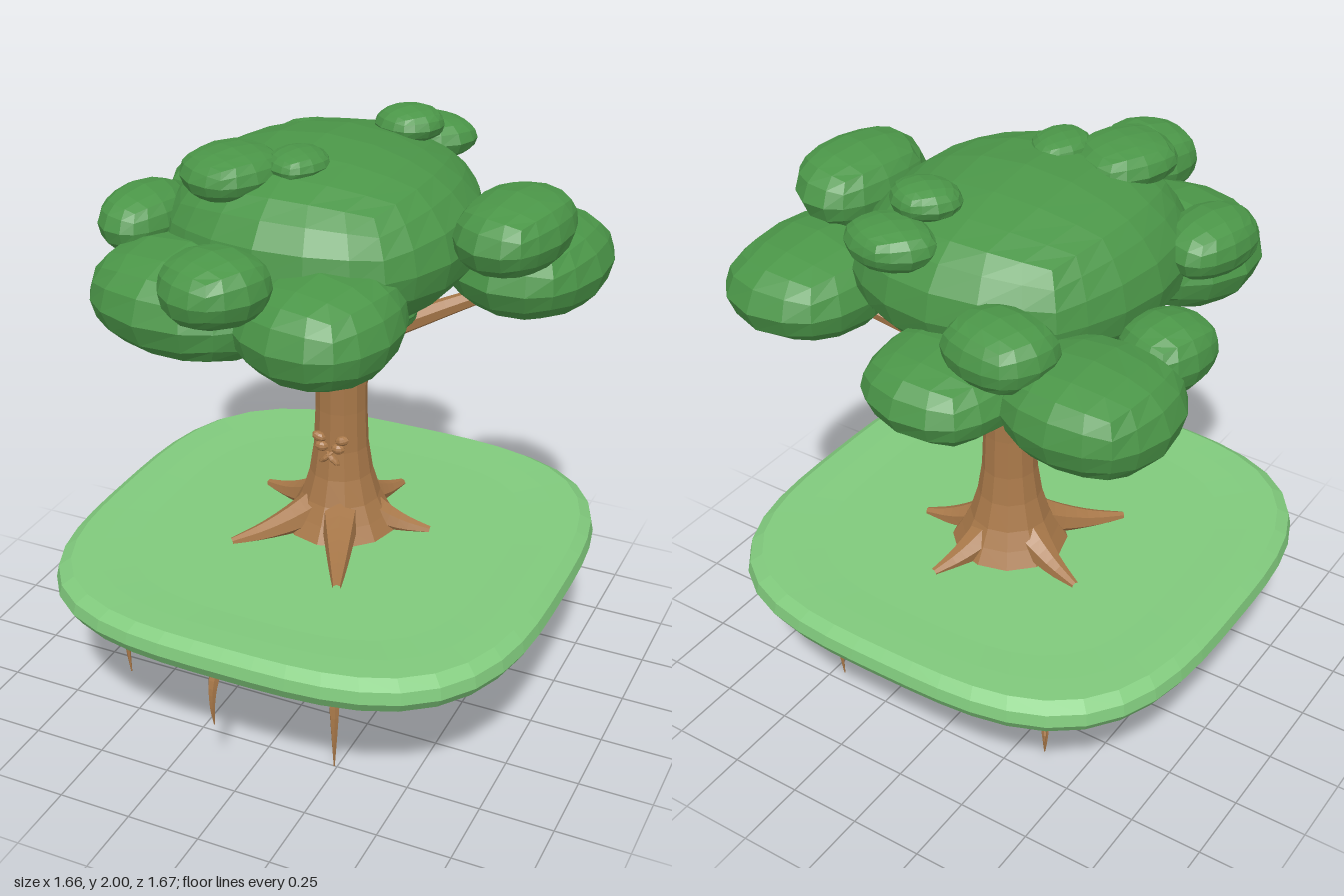
import * as THREE from 'three';

const mat = (name, color) => {
  const m = new THREE.MeshStandardMaterial({ color, flatShading: true });
  m.name = name;
  return m;
};

export function createModel() {
  const model = new THREE.Group();
  model.name = 'treeIsland';
  const leaf = mat('leaf green', 0x4b9648);
  const grass = mat('grass green', 0x80c97c);
  const bark = mat('bark brown', 0xa87849);
  const soil = mat('soil brown', 0x94683c);

  const add = (name, geo, material, parent = model) => {
    const mesh = new THREE.Mesh(geo, material);
    mesh.name = name;
    parent.add(mesh);
    return mesh;
  };
  const group = (name) => {
    const g = new THREE.Group();
    g.name = name;
    model.add(g);
    return g;
  };

  // Lathe squared off into a rounded square; squareness(y) is the superellipse exponent
  const squareLathe = (profile, sides, squareness) => {
    const geo = new THREE.LatheGeometry(profile.map(([r, y]) => new THREE.Vector2(r, y)), sides);
    const p = geo.attributes.position;
    for (let i = 0; i < p.count; i++) {
      const x = p.getX(i), y = p.getY(i), z = p.getZ(i), r = Math.hypot(x, z);
      if (r < 1e-6) continue;
      const n = squareness(y);
      const f = Math.pow(Math.pow(Math.abs(x / r), n) + Math.pow(Math.abs(z / r), n), -1 / n);
      p.setXYZ(i, x * f, y, z * f);
    }
    geo.computeVertexNormals();
    return geo;
  };

  // Tube that narrows from r0 to r1 along a curve
  const taperTube = (points, r0, r1, sides = 7, segs = 8) => {
    const curve = new THREE.CatmullRomCurve3(points.map((q) => new THREE.Vector3(...q)));
    const geo = new THREE.TubeGeometry(curve, segs, 1, sides);
    const p = geo.attributes.position, v = new THREE.Vector3();
    for (let i = 0; i <= segs; i++) {
      const t = i / segs, c = curve.getPointAt(t), r = r0 + (r1 - r0) * t;
      for (let j = 0; j <= sides; j++) {
        const k = i * (sides + 1) + j;
        v.fromBufferAttribute(p, k).sub(c).multiplyScalar(r).add(c);
        p.setXYZ(k, v.x, v.y, v.z);
      }
    }
    geo.computeVertexNormals();
    return geo;
  };

  // Floating island
  add('soilBase', squareLathe([[0, 0.03], [0.17, 0.033], [0.23, 0.055], [0.32, 0.11], [0.42, 0.185],
    [0.53, 0.265], [0.64, 0.35], [0.74, 0.425], [0.805, 0.485]], 36,
    (y) => 2.4 + 1.8 * y), soil);
  add('grassTop', squareLathe([[0.76, 0.474], [0.805, 0.478], [0.83, 0.52], [0.822, 0.56],
    [0.785, 0.585], [0.7, 0.583], [0.6, 0.578], [0, 0.576]], 48, () => 3.25), grass);

  // Trunk
  const trunkZ = -0.08;
  const trunkProfile = [[0.2, 0.57], [0.165, 0.63], [0.135, 0.69], [0.108, 0.78], [0.093, 0.88],
    [0.087, 1.02], [0.088, 1.14], [0.1, 1.23], [0.092, 1.32], [0.075, 1.53], [0, 1.53]];
  add('trunk', new THREE.LatheGeometry(trunkProfile.map(([r, y]) => new THREE.Vector2(r, y)), 12), bark)
    .position.z = trunkZ;

  // Spreading roots on the grass
  const roots = group('surfaceRoots');
  for (const [x, z] of [[-0.27, 0.22], [0.17, 0.33], [0.31, -0.13], [0.1, -0.39], [-0.33, -0.19]]) {
    const at = (t, y) => [x * t, y, trunkZ + (z - trunkZ) * t];
    add('surfaceRoot', taperTube([at(0.12, 0.665), at(0.4, 0.62), at(0.7, 0.59), at(1, 0.578)], 0.075, 0.014), bark, roots);
  }

  // Branches reaching into the crown
  const branches = group('branches');
  for (const [x, y, z, r] of [[-0.55, 1.46, -0.29, 0.052], [0.27, 1.47, 0.46, 0.048],
    [0.52, 1.47, -0.29, 0.052], [-0.12, 1.48, 0.28, 0.038]]) {
    const at = (t, h) => [x * t, h, trunkZ + (z - trunkZ) * t];
    add('branch', taperTube([at(0.02, 1.18), at(0.2, 1.28), at(0.55, 1.37), at(1, y)], r, 0.02), bark, branches);
  }

  // Gnarled knot on the front of the trunk
  const knot = group('trunkKnot');
  const bump = (x, y, z, rx, ry, tilt = 0) => {
    const m = add('knotBump', new THREE.SphereGeometry(1, 8, 6), bark, knot);
    m.position.set(x, y, z);
    m.scale.set(rx, ry, 0.018);
    m.rotation.z = tilt;
  };
  for (const s of [-1, 1]) {
    bump(s * 0.042, 0.932, 0.008, 0.026, 0.017, s * 0.3);
    bump(s * 0.03, 0.902, 0.014, 0.025, 0.018);
    bump(s * 0.012, 0.862, 0.014, 0.034, 0.011, s * -0.75);
  }

  // Roots hanging below: x, z, top y, tip y
  const hanging = group('hangingRoots');
  for (const [x, z, top, tip] of [[-0.065, 0.75, 0.44, 0.25], [0.24, 0.5, 0.27, 0], [-0.56, 0.44, 0.37, 0.1],
    [-0.465, -0.03, 0.23, 0.06], [-0.4, -0.48, 0.25, 0.1], [0.4, -0.53, 0.36, 0.085]]) {
    const h = top - tip;
    add('hangingRoot', taperTube([[x * 0.98, top, z * 0.98], [x, top - h * 0.2, z],
      [x * 1.01, top - h * 0.6, z * 1.01], [x, tip, z]], 0.02, 0.002, 6), bark, hanging);
    add('hangingRootlet', taperTube([[x * 0.97, top, z * 0.97], [x - 0.012, top - h * 0.3, z - 0.018],
      [x - 0.01, top - h * 0.65, z - 0.022]], 0.013, 0.002, 5, 5), bark, hanging);
  }

  // Leaf clump: a cube puffed into a faceted, slightly uneven ellipsoid
  const up = new THREE.Vector3(0, 1, 0);
  const clump = (segs, seed) => {
    const geo = new THREE.BoxGeometry(2, 2, 2, segs, segs, segs);
    const p = geo.attributes.position, v = new THREE.Vector3(), cube = new THREE.Vector3();
    for (let i = 0; i < p.count; i++) {
      cube.fromBufferAttribute(p, i);
      v.copy(cube).normalize().lerp(cube, 0.08);
      const wobble = 1.02 + 0.025 * Math.sin(cube.x * 2.1 + cube.y * 1.6 + seed * 2) +
        0.02 * Math.sin(cube.z * 2.7 + seed * 3);
      v.multiplyScalar(wobble).applyAxisAngle(up, seed * 0.9);
      p.setXYZ(i, v.x, v.y, v.z);
    }
    geo.computeVertexNormals();
    return geo;
  };

  // Crown: centre x, y, z and radii x, y, z
  const crown = group('crown');
  [
    [-0.035, 1.69, -0.04, 0.485, 0.27, 0.52], // main dome
    [-0.56, 1.56, -0.5, 0.25, 0.155, 0.25],
    [-0.12, 1.535, -0.58, 0.24, 0.125, 0.25],
    [0.55, 1.55, -0.32, 0.255, 0.15, 0.31],
    [-0.27, 1.57, 0.42, 0.32, 0.165, 0.27],
    [0.17, 1.57, 0.45, 0.25, 0.16, 0.25],
    [0.59, 1.76, -0.04, 0.17, 0.12, 0.24],
    [-0.31, 1.71, -0.59, 0.165, 0.1, 0.14],
    [-0.59, 1.56, -0.13, 0.14, 0.115, 0.16],
    [-0.52, 1.73, 0.25, 0.13, 0.095, 0.18],
    [-0.07, 1.725, 0.65, 0.16, 0.11, 0.165],
    [0.18, 1.45, 0.04, 0.12, 0.065, 0.11],
    [-0.21, 1.92, 0.25, 0.145, 0.075, 0.165],
    [-0.03, 1.945, 0.17, 0.09, 0.045, 0.11],
    [0.14, 1.86, -0.48, 0.145, 0.07, 0.12],
    [0.125, 1.94, -0.33, 0.11, 0.055, 0.1],
  ].forEach(([x, y, z, rx, ry, rz], i) => {
    const geo = clump(i === 0 ? 6 : 4, i * 1.7);
    geo.scale(rx, ry, rz).translate(x, y, z);
    add(i === 0 ? 'crownDome' : 'leafClump', geo, leaf, crown);
  });

  return model;
}
